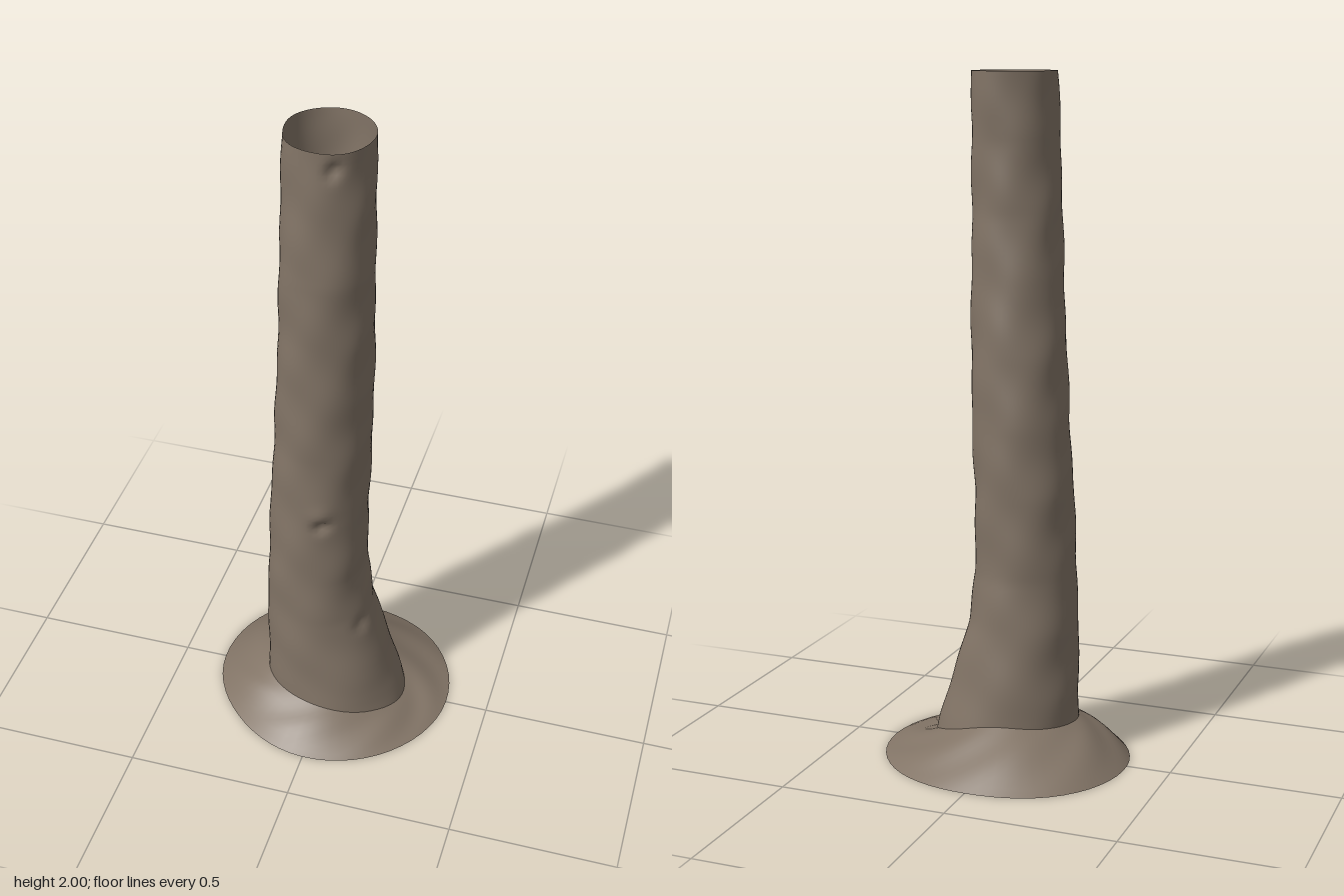
import * as THREE from 'three';

// Trunk sections: height, x min, x max, z min, z max
const SECTIONS = [
  [0.0, -0.2, 0.245, -0.17, 0.215],
  [0.1, -0.2, 0.22, -0.16, 0.208],
  [0.2, -0.2, 0.188, -0.15, 0.2],
  [0.4, -0.196, 0.13, -0.13, 0.185],
  [0.55, -0.19, 0.11, -0.117, 0.18],
  [0.8, -0.18, 0.11, -0.118, 0.172],
  [1.0, -0.166, 0.117, -0.115, 0.168],
  [1.2, -0.155, 0.122, -0.105, 0.17],
  [1.4, -0.142, 0.125, -0.09, 0.171],
  [1.6, -0.135, 0.125, -0.078, 0.174],
  [1.8, -0.128, 0.125, -0.078, 0.166],
  [2.0, -0.123, 0.122, -0.088, 0.161],
];

// Radius of the flared foot and height of its seam, every 45 degrees from +x towards +z
const FOOT_RADIUS = [0.37, 0.357, 0.35, 0.342, 0.368, 0.376, 0.355, 0.368];
const SEAM_HEIGHT = [0.04, 0.055, 0.085, 0.1, 0.11, 0.12, 0.125, 0.08];

// Knots: angle, height, size, outward offset
const KNOTS = [
  [1.25, 0.775, 0.028, -0.018],
  [1.3, 0.82, 0.04, 0.006],
  [0.5, 0.37, 0.03, -0.012],
  [1.2, 1.95, 0.03, -0.018],
];

const SEGMENTS = 56;

// Smooth value from a list that runs once round the circle
function around(list, a) {
  const n = list.length;
  const f = (((a / (Math.PI * 2)) * n) % n + n) % n;
  const i = Math.floor(f), t = f - i;
  const [p, q, r, s] = [-1, 0, 1, 2].map((k) => list[(i + k + n) % n]);
  return q + 0.5 * t * (r - p + t * (2 * p - 5 * q + 4 * r - s + t * (3 * (q - r) + s - p)));
}

// Point on the trunk at an angle and height
function trunkPoint(a, y) {
  let i = 0;
  while (i < SECTIONS.length - 2 && SECTIONS[i + 1][0] < y) i++;
  const lo = SECTIONS[i], hi = SECTIONS[i + 1];
  const t = (y - lo[0]) / (hi[0] - lo[0]);
  const [x0, x1, z0, z1] = [1, 2, 3, 4].map((k) => lo[k] + (hi[k] - lo[k]) * t);
  // gentle uneven bark
  let d = 0.0015 * Math.sin(y * 31 + Math.sin(a * 2) * 2) + 0.0012 * Math.sin(a * 5 + y * 17);
  for (const [ka, ky, size, offset] of KNOTS) {
    const u = ((a - ka) * 0.14) / size, v = (y - ky) / size;
    d += offset * Math.exp(-2 * (u * u + v * v));
  }
  return [
    (x0 + x1) / 2 + ((x1 - x0) / 2 + d) * Math.cos(a),
    y,
    (z0 + z1) / 2 + ((z1 - z0) / 2 + d) * Math.sin(a),
  ];
}

// Open surface from closed rings, listed from the bottom up
function loft(name, rings, pointAt, material) {
  const positions = [], index = [];
  for (let j = 0; j <= rings; j++) {
    for (let i = 0; i < SEGMENTS; i++) {
      positions.push(...pointAt((i / SEGMENTS) * Math.PI * 2, j / rings));
      if (j === rings) continue;
      const a = j * SEGMENTS + i, b = j * SEGMENTS + ((i + 1) % SEGMENTS);
      index.push(a, a + SEGMENTS, b, b, a + SEGMENTS, b + SEGMENTS);
    }
  }
  const geometry = new THREE.BufferGeometry();
  geometry.setAttribute('position', new THREE.Float32BufferAttribute(positions, 3));
  geometry.setIndex(index);
  geometry.computeVertexNormals();
  const mesh = new THREE.Mesh(geometry, material);
  mesh.name = name;
  return mesh;
}

export function createModel() {
  const bark = new THREE.MeshStandardMaterial({ color: 0x827466, side: THREE.DoubleSide });
  bark.name = 'bark brown';

  const group = new THREE.Group();
  group.name = 'hollowTrunk';

  // Leaning hollow trunk, open at both ends
  group.add(loft('trunk', 120, (a, t) => {
    const seam = around(SEAM_HEIGHT, a);
    return trunkPoint(a, seam + (2 - seam) * t);
  }, bark));

  // Flared foot rising from the ground to the seam
  group.add(loft('foot', 8, (a, t) => {
    const seam = around(SEAM_HEIGHT, a);
    const r = around(FOOT_RADIUS, a);
    const top = trunkPoint(a, seam);
    const lump = 0.004 * Math.sin(a * 7 + t * 5) * Math.sin(Math.PI * t);
    const rise = t + 0.1 * Math.sin(Math.PI * t) * (1 - Math.cos(a)) / 2;
    return [
      r * Math.cos(a) * (1 - t) + top[0] * t,
      seam * rise + lump,
      r * Math.sin(a) * (1 - t) + top[2] * t,
    ];
  }, bark));

  return group;
}
